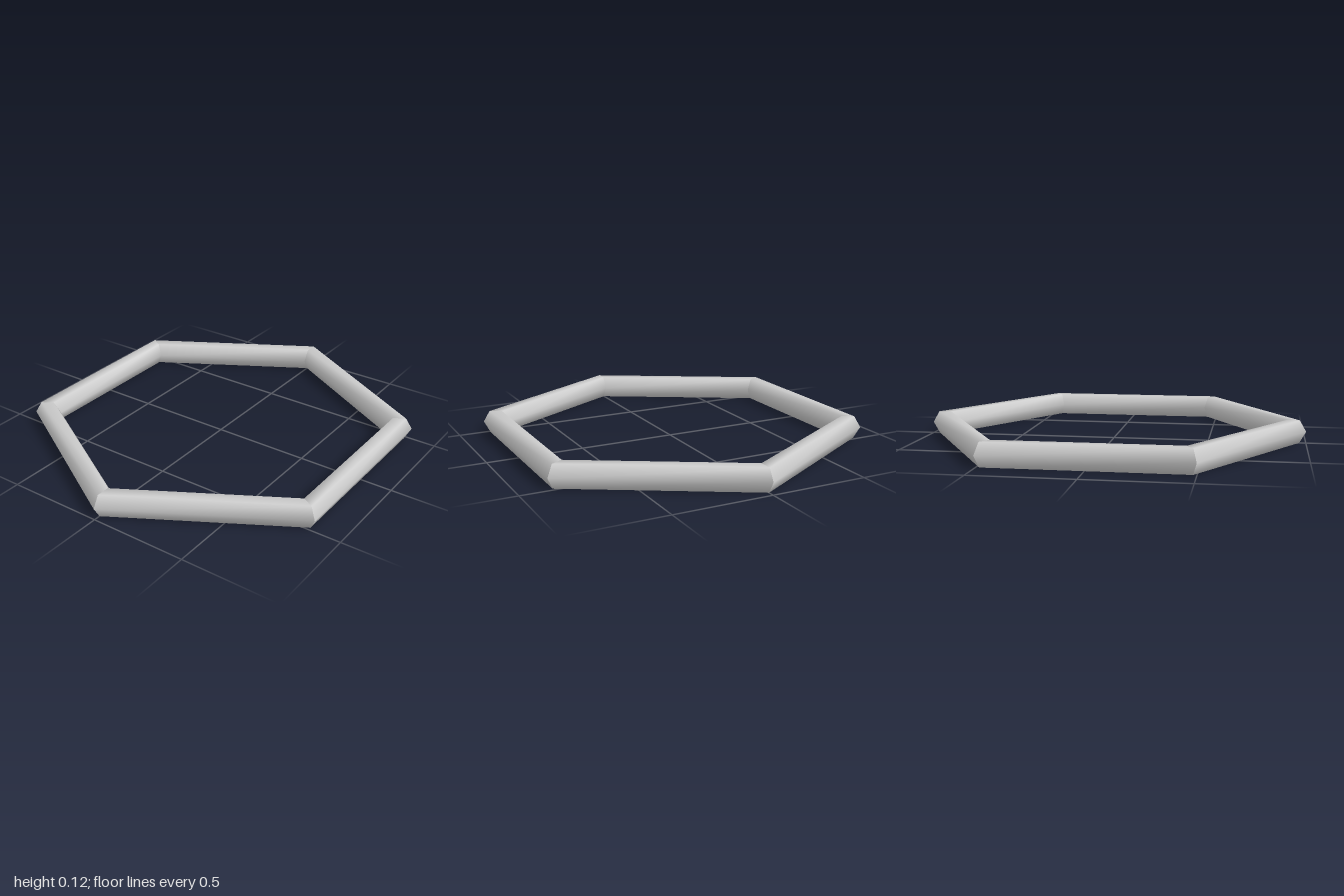
import * as THREE from 'three';
import { mergeVertices } from 'three/addons/utils/BufferGeometryUtils.js';

const SIDES = 6;
const RING = 0.932; // centre of the bar to the ring's axis, at a corner
const BAR = 0.068; // radius of the hexagonal bar section

// One straight mitred rail: a single torus step, smooth around the bar
function railGeometry() {
  const torus = new THREE.TorusGeometry(RING, BAR, 6, 1, (2 * Math.PI) / SIDES);
  torus.deleteAttribute('normal');
  torus.deleteAttribute('uv');
  const rail = mergeVertices(torus, 1e-4);
  rail.computeVertexNormals();
  rail.rotateX(-Math.PI / 2); // lay flat
  return rail;
}

export function createModel() {
  const model = new THREE.Group();
  model.name = 'hexagonalRing';
  const material = new THREE.MeshStandardMaterial({ color: 0xcccccc });
  const geometry = railGeometry();

  // Six rails, with corners at the front and back
  for (let i = 0; i < SIDES; i++) {
    const rail = new THREE.Mesh(geometry, material);
    rail.name = `rail${i + 1}`;
    rail.rotation.y = Math.PI / 6 + (i * 2 * Math.PI) / SIDES;
    rail.position.y = BAR * Math.sin(Math.PI / 3); // rests on its flat underside
    model.add(rail);
  }
  return model;
}
